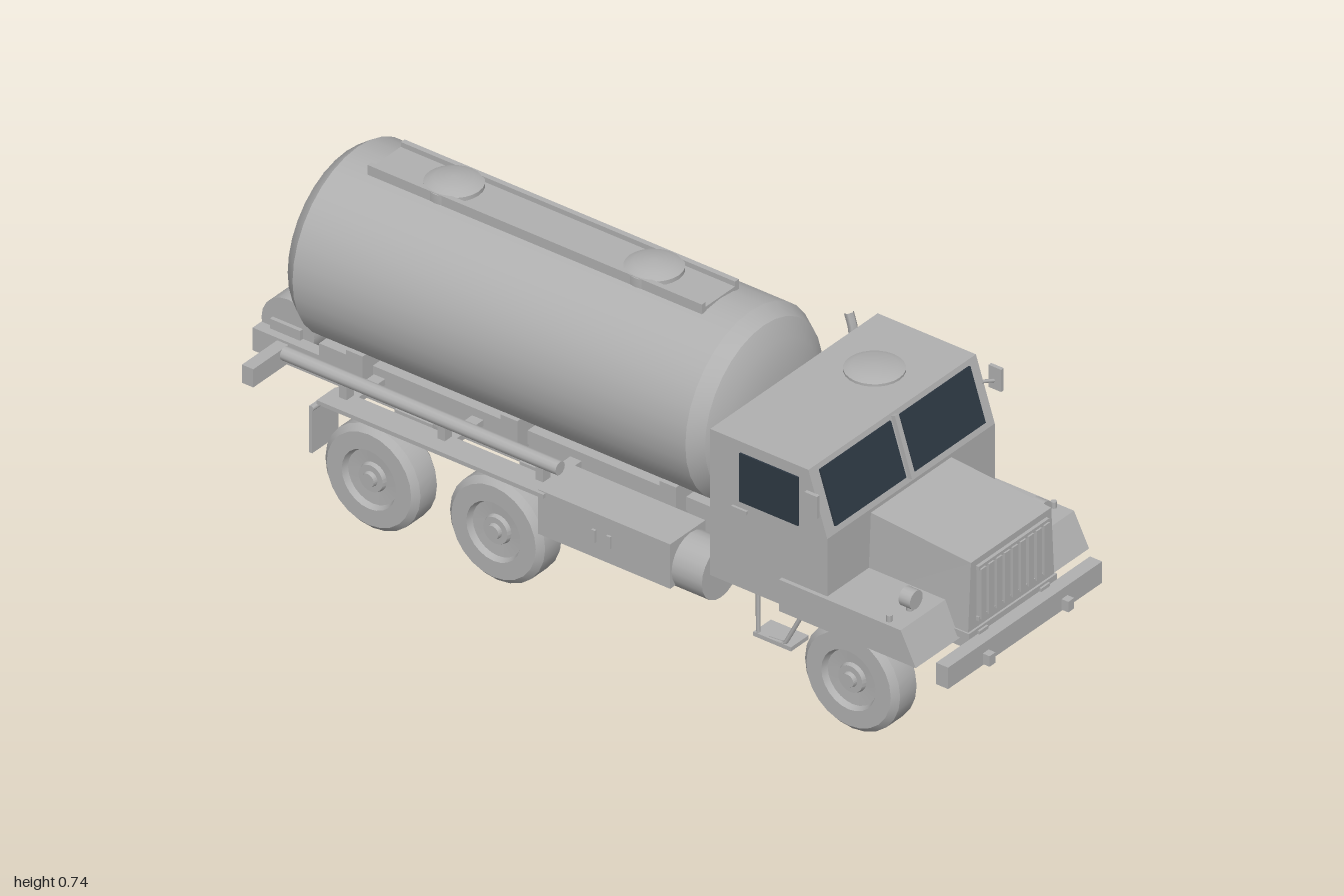
import * as THREE from 'three';
import { toCreasedNormals } from 'three/addons/utils/BufferGeometryUtils.js';

export function createModel() {
  const truck = new THREE.Group();
  truck.name = 'tankerTruck';
  const body = new THREE.MeshStandardMaterial({ color: 0xb0b0b0 });
  body.name = 'bodyGrey';
  const glass = new THREE.MeshStandardMaterial({ color: 0x2d3843 });
  glass.name = 'darkGlass';

  const add = (name, geo, mat = body) => {
    const m = new THREE.Mesh(geo, mat);
    m.name = name;
    truck.add(m);
    return m;
  };
  // box from min and max corners
  const box = (name, x0, x1, y0, y1, z0, z1, mat) => {
    const m = add(name, new THREE.BoxGeometry(Math.abs(x1 - x0), y1 - y0, Math.abs(z1 - z0)), mat);
    m.position.set((x0 + x1) / 2, (y0 + y1) / 2, (z0 + z1) / 2);
    return m;
  };
  // cylinder between two points
  const rod = (name, a, b, r, sides = 8) => {
    const p = new THREE.Vector3(...a), q = new THREE.Vector3(...b), d = q.clone().sub(p);
    const m = add(name, new THREE.CylinderGeometry(r, r, d.length(), sides));
    m.position.copy(p).add(q).multiplyScalar(0.5);
    m.quaternion.setFromUnitVectors(new THREE.Vector3(0, 1, 0), d.normalize());
    return m;
  };
  // bent pipe through points
  const pipe = (name, pts, r, tension = 0.2) => add(name, new THREE.TubeGeometry(
    new THREE.CatmullRomCurve3(pts.map(p => new THREE.Vector3(...p)), false, 'catmullrom', tension), 24, r, 6));
  // side profile of [z, y] points extruded across x
  const profile = (name, pts, x0, x1) => {
    const geo = new THREE.ExtrudeGeometry(new THREE.Shape(pts.map(p => new THREE.Vector2(...p))),
      { depth: x1 - x0, bevelEnabled: false });
    return add(name, geo.translate(0, 0, -x1).rotateY(-Math.PI / 2));
  };
  const lathe = (pts, sides) => toCreasedNormals(
    new THREE.LatheGeometry(pts.map(p => new THREE.Vector2(...p)), sides), 0.5);
  const both = fn => [1, -1].forEach(fn);

  // tank with domed ends
  add('tank', lathe([[0, -0.87], [0.09, -0.863], [0.16, -0.847], [0.2, -0.825], [0.222, -0.795],
    [0.222, 0.245], [0.2, 0.28], [0.16, 0.302], [0.09, 0.315], [0, 0.32]], 32)
    .rotateX(Math.PI / 2)).position.y = 0.494;
  // walkway and manhole lids on the tank
  box('walkway', -0.063, 0.063, 0.708, 0.72, -0.72, 0.165);
  both(s => box('walkwayEdge', s * 0.05, s * 0.063, 0.715, 0.732, -0.72, 0.165));
  for (const z of [-0.01, -0.54]) {
    const lid = add('manholeLid', lathe([[0, 0], [0.065, 0], [0.065, 0.022], [0.045, 0.031], [0, 0.036]], 24));
    lid.position.set(0, 0.708, z);
  }
  for (const z of [0.15, -0.27, -0.68]) box('tankSaddle', -0.16, 0.16, 0.25, 0.33, z - 0.022, z + 0.022);
  // rear handles of the tank
  both(s => {
    rod('upperHandle', [s * 0.04, 0.62, -0.856], [s * 0.04, 0.65, -0.85], 0.004);
    rod('rearLadderRail', [s * 0.045, 0.3, -0.86], [s * 0.045, 0.42, -0.874], 0.005);
  });
  for (const y of [0.32, 0.36]) rod('ladderRung', [-0.045, y, -0.865], [0.045, y, -0.865], 0.004);

  // cab with raked windscreen
  profile('cab', [[0.36, 0.25], [0.67, 0.25], [0.67, 0.46], [0.62, 0.612], [0.36, 0.612]], -0.285, 0.285);
  const tilt = -Math.atan(0.05 / 0.152);
  const front = (name, x, w, h, t, mat) => {
    const m = add(name, new THREE.BoxGeometry(w, h, t), mat);
    m.position.set(x, 0.538, 0.6455);
    m.rotation.x = tilt;
  };
  front('screenPillar', 0, 0.013, 0.145, 0.02);
  both(s => {
    front('windscreen', s * 0.135, 0.24, 0.131, 0.008, glass);
    box('sideWindow', s * 0.283, s * 0.289, 0.465, 0.585, 0.44, 0.595, glass);
    box('doorHandle', s * 0.284, s * 0.291, 0.44, 0.448, 0.42, 0.46);
    // mirrors
    rod('mirrorArm', [s * 0.28, 0.555, 0.64], [s * 0.314, 0.545, 0.65], 0.004);
    box('mirror', s * 0.309, s * 0.318, 0.525, 0.58, 0.635, 0.668);
  });
  add('roofHatch', lathe([[0, 0], [0.066, 0], [0.066, 0.008], [0.05, 0.014], [0, 0.016]], 24))
    .position.set(0.107, 0.61, 0.49);

  // bonnet, tapering to the top
  const hood = profile('bonnet', [[0.66, 0.25], [0.935, 0.25], [0.935, 0.43], [0.66, 0.452]], -0.147, 0.147);
  const hp = hood.geometry.attributes.position;
  for (let i = 0; i < hp.count; i++) if (hp.getY(i) > 0.3) hp.setX(i, hp.getX(i) * 0.93);
  hood.geometry.computeVertexNormals();
  // grille
  for (const y of [0.28, 0.405]) box('grilleRail', -0.12, 0.12, y, y + 0.01, 0.93, 0.943);
  for (let i = 0; i < 9; i++) {
    const x = -0.108 + i * 0.027;
    box('grilleBar', x - 0.009, x + 0.009, 0.285, 0.408, 0.93, 0.947);
  }
  box('radiatorBase', -0.15, 0.15, 0.245, 0.262, 0.67, 0.94);

  both(s => {
    // hollow front wings
    box('wingTop', s * 0.135, s * 0.295, 0.308, 0.318, 0.55, 0.87);
    profile('wingSide', [[0.55, 0.24], [0.91, 0.24], [0.87, 0.318], [0.55, 0.318]],
      s > 0 ? 0.287 : -0.295, s > 0 ? 0.295 : -0.287);
    profile('wingFront', [[0.9, 0.24], [0.912, 0.24], [0.872, 0.318], [0.86, 0.318]],
      s > 0 ? 0.14 : -0.295, s > 0 ? 0.295 : -0.14);
    // headlamps
    rod('headlamp', [s * 0.22, 0.349, 0.825], [s * 0.22, 0.349, 0.855], 0.022, 16);
    rod('headlampStem', [s * 0.22, 0.315, 0.838], [s * 0.22, 0.34, 0.838], 0.008);
    rod('marker', [s * 0.28, 0.315, 0.83], [s * 0.28, 0.333, 0.83], 0.007);
    // bumper hooks and arms
    box('towHook', s * 0.124, s * 0.144, 0.198, 0.224, 0.96, 0.99);
    // cab steps
    pipe('stepFrame', [[s * 0.27, 0.25, 0.6], [s * 0.275, 0.15, 0.55], [s * 0.275, 0.145, 0.48], [s * 0.27, 0.25, 0.475]], 0.005, 0.05);
    box('cabStep', s * 0.22, s * 0.28, 0.14, 0.15, 0.47, 0.57);
  });
  box('bumper', -0.262, 0.262, 0.195, 0.248, 0.94, 0.972);

  // equipment behind the cab
  box('rearCabUnit', -0.19, 0.19, 0.25, 0.39, 0.325, 0.362);
  pipe('exhaust', [[0.225, 0.25, 0.342], [0.225, 0.4, 0.342], [0.225, 0.59, 0.342], [0.225, 0.634, 0.33]], 0.011);

  // chassis
  both(s => {
    box('frameRail', s * 0.09, s * 0.12, 0.2, 0.256, -0.98, 0.945);
    box('subframe', s * 0.095, s * 0.125, 0.256, 0.29, -0.8, 0.3);
  });
  for (const z of [0.85, 0.5, 0.2, -0.05, -0.39, -0.75]) box('crossMember', -0.1, 0.1, 0.205, 0.245, z - 0.02, z + 0.02);
  box('rearCrossbar', -0.24, 0.24, 0.205, 0.25, -0.915, -0.885);

  // wheels, axles and differentials
  const wheelGeo = lathe([[0, -0.025], [0.066, -0.025], [0.072, -0.042], [0.112, -0.042], [0.126, -0.028],
    [0.126, 0.028], [0.112, 0.042], [0.072, 0.042], [0.066, 0.028], [0.035, 0.026], [0.032, 0.036],
    [0.018, 0.036], [0.016, 0.046], [0, 0.046]], 24).rotateZ(-Math.PI / 2);
  for (const z of [0.72, -0.22, -0.55]) {
    both(s => {
      const w = add('wheel', wheelGeo);
      w.position.set(s * 0.235, 0.126, z);
      if (s < 0) w.rotation.y = Math.PI;
      box('leafSpring', s * 0.1, s * 0.125, 0.145, 0.205, z - 0.05, z + 0.05);
    });
    rod('axle', [-0.21, 0.13, z], [0.21, 0.13, z], 0.014);
    const diff = add('differential', toCreasedNormals(new THREE.SphereGeometry(0.038, 8, 6).rotateX(Math.PI / 2), 0.1));
    diff.position.set(0, 0.13, z);
  }
  rod('frontDriveShaft', [0, 0.135, 0.72], [0, 0.15, 0.25], 0.01);
  rod('rearDriveShaft', [0, 0.15, 0.25], [0, 0.13, -0.55], 0.01);
  box('transferCase', -0.05, 0.05, 0.13, 0.22, 0.2, 0.3);
  pipe('steeringLink', [[0.1, 0.2, 0.78], [0.14, 0.12, 0.77], [0.2, 0.1, 0.75]], 0.007);

  // right-hand locker with reel ring
  box('locker', 0.16, 0.28, 0.155, 0.28, -0.1, 0.26);
  box('smallLocker', 0.17, 0.26, 0.165, 0.25, 0.26, 0.33);
  const ring = add('reelRing', new THREE.TorusGeometry(0.056, 0.009, 8, 24).rotateY(Math.PI / 2));
  ring.position.set(0.287, 0.242, 0.08);
  rod('reelPlate', [0.27, 0.242, 0.08], [0.285, 0.242, 0.08], 0.052, 24);
  for (const z of [0.065, 0.095]) box('reelGrip', 0.28, 0.296, 0.215, 0.265, z - 0.005, z + 0.005);
  // left-hand locker with fuel cylinder
  box('leftLocker', -0.28, -0.16, 0.17, 0.28, -0.1, 0.25);
  rod('fuelCylinder', [-0.21, 0.21, -0.09], [-0.21, 0.21, 0.33], 0.065, 20);
  for (const z of [0.05, 0.09]) box('lockerLatch', -0.286, -0.28, 0.21, 0.24, z - 0.005, z + 0.005);

  // side pipes, rear mudguards and flaps
  both(s => {
    rod('sidePipe', [s * 0.243, 0.325, -0.8], [s * 0.243, 0.325, -0.07], 0.016, 12);
    box('rearMudguard', s * 0.225, s * 0.288, 0.268, 0.278, -0.68, -0.08);
    for (const z of [-0.12, -0.38, -0.64]) {
      box('guardBracket', s * 0.1, s * 0.26, 0.255, 0.27, z - 0.015, z + 0.015);
      box('pipeBracket', s * 0.225, s * 0.25, 0.275, 0.32, z - 0.01, z + 0.01);
    }
    box('mudFlap', s * 0.19, s * 0.28, 0.135, 0.25, -0.706, -0.698);
    rod('flapBar', [s * 0.1, 0.245, -0.7], [s * 0.28, 0.245, -0.7], 0.006);
  });

  // rear drum and hose
  rod('rearDrum', [-0.09, 0.268, -0.91], [0.09, 0.268, -0.91], 0.07, 20);
  both(s => box('drumBracket', s * 0.09, s * 0.1, 0.2, 0.28, -0.95, -0.87));
  pipe('hose', [[0.08, 0.27, -0.96], [0.15, 0.25, -0.99], [0.21, 0.2, -0.99], [0.228, 0.11, -0.985],
    [0.228, 0.1, -0.97], [0.225, 0.15, -0.935], [0.225, 0.22, -0.925]], 0.008);

  return truck;
}
